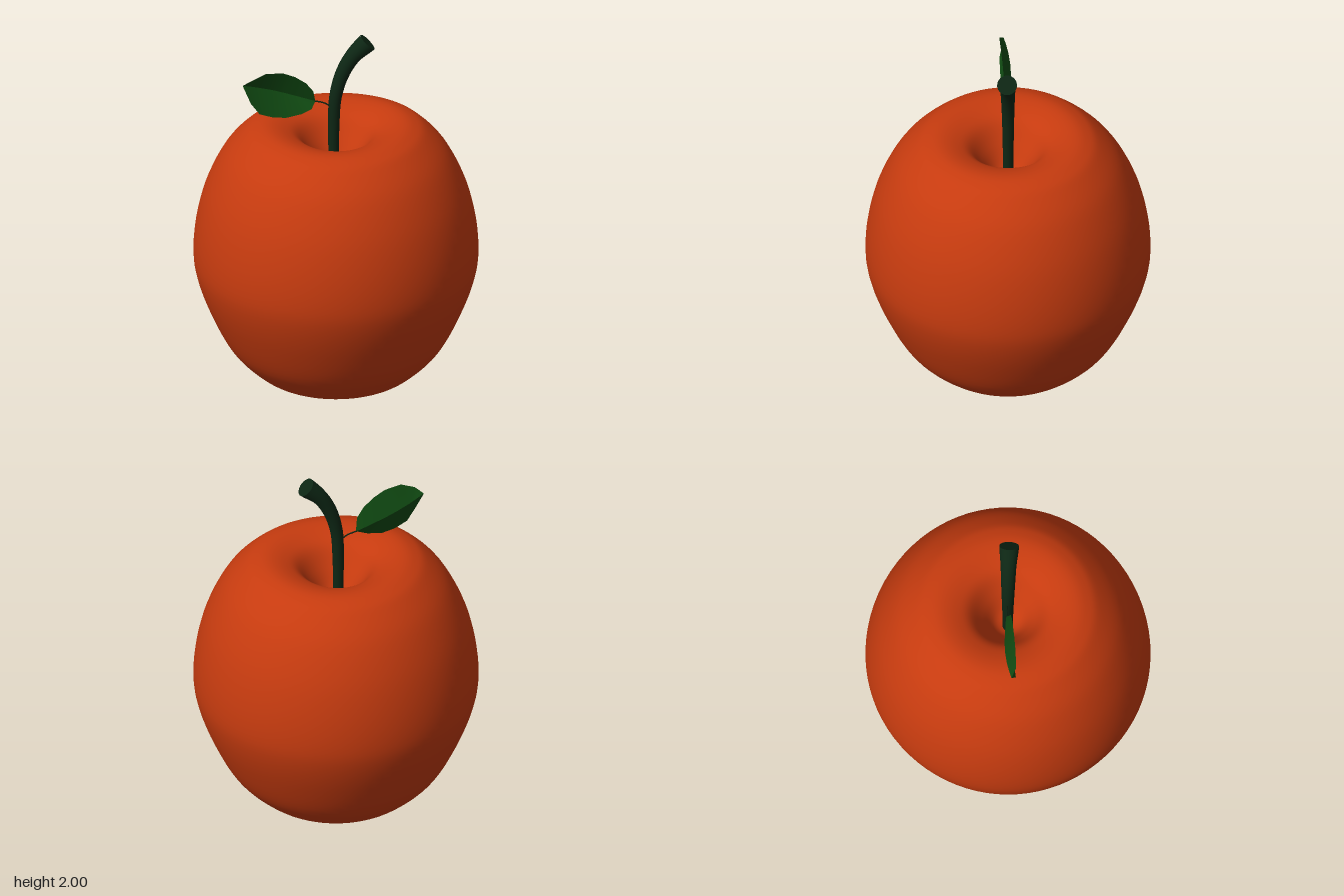
import * as THREE from 'three';

const red = new THREE.MeshStandardMaterial({ color: 0xc63b0f });
red.name = 'apple red';
const stemGreen = new THREE.MeshStandardMaterial({ color: 0x0d2614 });
stemGreen.name = 'dark stem green';
const leafGreen = new THREE.MeshStandardMaterial({ color: 0x104a12, side: THREE.DoubleSide });
leafGreen.name = 'leaf green';

const V = (x, y, z) => new THREE.Vector3(x, y, z);

function part(name, geometry, material) {
  const mesh = new THREE.Mesh(geometry, material);
  mesh.name = name;
  return mesh;
}

// Turned fruit with a dimple at both ends and a slightly saddle-shaped top rim
function fruit() {
  const profile = new THREE.SplineCurve([
    [0, 0.3], [0.07, 0.27], [0.16, 0.14], [0.25, 0.035], [0.31, 0.006], [0.375, 0.003],
    [0.46, 0.055], [0.585, 0.19], [0.69, 0.4], [0.755, 0.59], [0.772, 0.74], [0.752, 0.93],
    [0.7, 1.12], [0.61, 1.3], [0.5, 1.42], [0.43, 1.46], [0.36, 1.472], [0.28, 1.455],
    [0.21, 1.415], [0.14, 1.32], [0.07, 1.22], [0, 1.19],
  ].map(([r, y]) => new THREE.Vector2(r, y)));
  const points = profile.getPoints(105);
  points.forEach((p) => { p.x = Math.max(0, p.x); p.y = Math.max(0, p.y); });
  const geometry = new THREE.LatheGeometry(points, 80);
  const pos = geometry.attributes.position;
  for (let i = 0; i < pos.count; i++) {
    const x = pos.getX(i), y = pos.getY(i), z = pos.getZ(i);
    const r2 = x * x + z * z;
    if (y > 1.1 && r2 > 1e-6) {
      const weight = THREE.MathUtils.smoothstep(y, 1.2, 1.45);
      pos.setY(i, y + 0.008 * weight * (x * x - z * z) / r2);
    }
  }
  return part('fruit', geometry, red);
}

// Curved stem widening towards its cut end
function stem() {
  const group = new THREE.Group();
  group.name = 'stem';
  const curve = new THREE.CatmullRomCurve3([
    V(-0.012, 1.15, 0), V(-0.012, 1.46, 0), V(-0.003, 1.64, 0),
    V(0.035, 1.78, -0.002), V(0.095, 1.885, -0.005), V(0.172, 1.96, -0.008),
  ]);
  const rings = 28, sides = 20;
  const geometry = new THREE.TubeGeometry(curve, rings, 1, sides);
  const pos = geometry.attributes.position;
  const p = V(0, 0, 0);
  for (let i = 0; i < pos.count; i++) {
    const t = Math.floor(i / (sides + 1)) / rings;
    const radius = 0.028 + 0.02 * t * t + 0.006 * THREE.MathUtils.smoothstep(t, 0.85, 1);
    const center = curve.getPointAt(t);
    p.fromBufferAttribute(pos, i).sub(center).multiplyScalar(radius).add(center);
    pos.setXYZ(i, p.x, p.y, p.z);
  }
  const cap = part('stemCutEnd', new THREE.CircleGeometry(0.054, sides), stemGreen);
  cap.position.copy(curve.getPointAt(1));
  cap.quaternion.setFromUnitVectors(V(0, 0, 1), curve.getTangentAt(1));
  group.add(part('stemShaft', geometry, stemGreen), cap);
  return group;
}

// Leaf folded along its midrib: rows of upper edge, midrib and lower edge
function leaf() {
  const rows = [
    [[-0.113, 1.622, 0.003], [-0.113, 1.62, 0.0], [-0.115, 1.615, 0.003]],
    [[-0.125, 1.69, 0.025], [-0.15, 1.632, 0.0], [-0.135, 1.59, 0.038]],
    [[-0.165, 1.745, 0.035], [-0.21, 1.653, 0.002], [-0.19, 1.565, 0.045]],
    [[-0.225, 1.79, 0.046], [-0.28, 1.677, 0.005], [-0.275, 1.549, 0.052]],
    [[-0.29, 1.82, 0.058], [-0.345, 1.7, 0.013], [-0.35, 1.56, 0.062]],
    [[-0.385, 1.829, 0.074], [-0.42, 1.725, 0.03], [-0.42, 1.587, 0.075]],
    [[-0.465, 1.792, 0.083], [-0.475, 1.744, 0.048], [-0.468, 1.655, 0.082]],
    [[-0.51, 1.757, 0.063], [-0.51, 1.755, 0.062], [-0.509, 1.75, 0.063]],
  ];
  const group = new THREE.Group();
  group.name = 'leaf';
  // Each half has its own vertices so that the midrib stays sharp
  ['upperLeafHalf', 'lowerLeafHalf'].forEach((name, h) => {
    const position = [], index = [];
    rows.forEach((row, i) => {
      position.push(...row[h], ...row[h + 1]);
      if (i === 0) return;
      const a = 2 * i - 2;
      index.push(a, a + 2, a + 1, a + 1, a + 2, a + 3);
    });
    const geometry = new THREE.BufferGeometry();
    geometry.setAttribute('position', new THREE.Float32BufferAttribute(position, 3));
    geometry.setIndex(index);
    geometry.computeVertexNormals();
    group.add(part(name, geometry, leafGreen));
  });
  // Thin stalk joining leaf and stem
  const stalk = new THREE.CatmullRomCurve3([
    V(-0.02, 1.575, 0), V(-0.06, 1.605, 0), V(-0.118, 1.621, 0.001),
  ]);
  group.add(part('leafStalk', new THREE.TubeGeometry(stalk, 10, 0.004, 6), stemGreen));
  return group;
}

export function createModel() {
  const model = new THREE.Group();
  model.name = 'apple';
  model.add(fruit(), stem(), leaf());
  return model;
}
